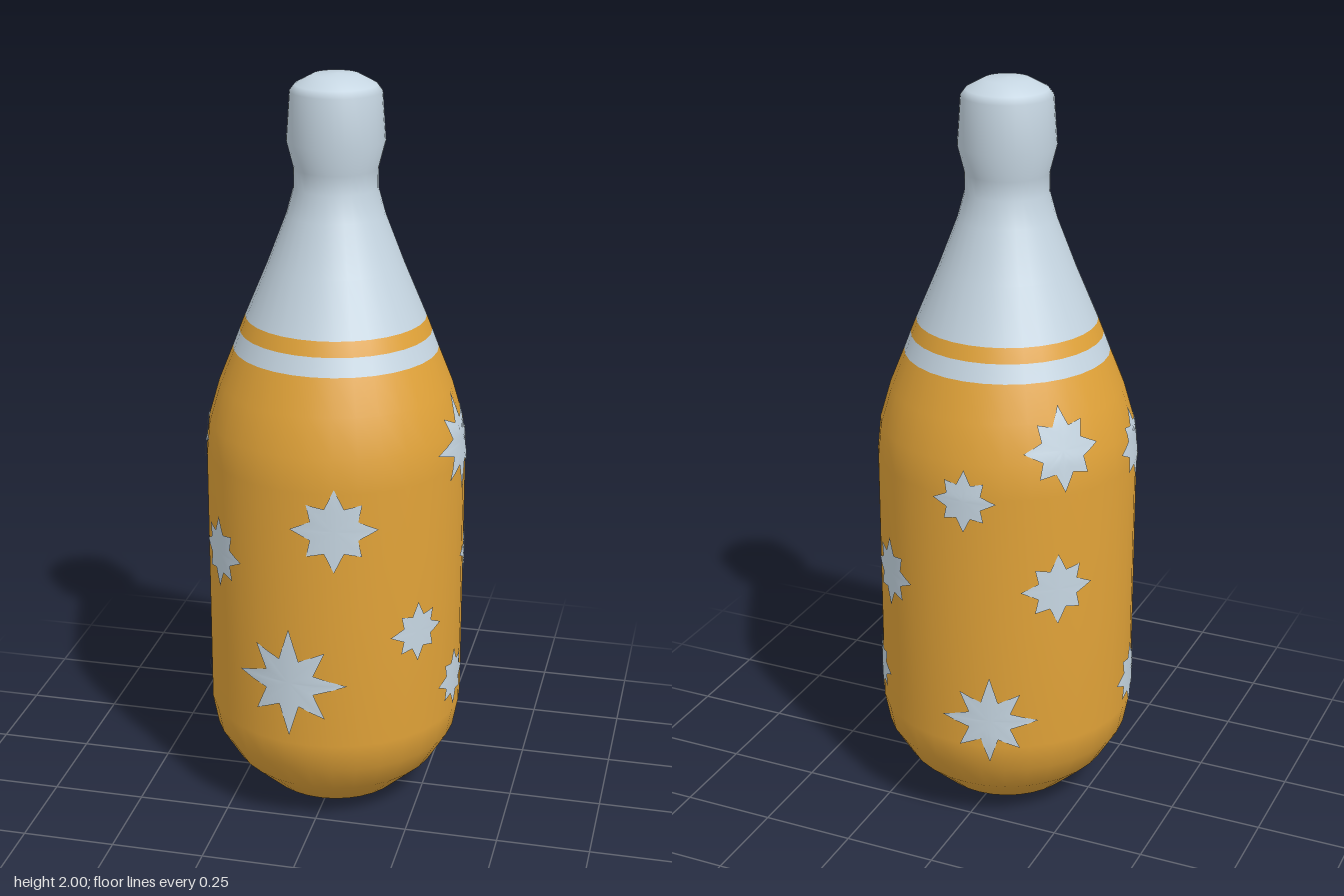
import * as THREE from 'three';

// Bottle outline: [radius, height]
const PROFILE = [
  [0, 0], [0.09, 0.004], [0.19, 0.03], [0.28, 0.115], [0.331, 0.2], [0.346, 0.28],
  [0.346, 0.62], [0.346, 1.0], [0.337, 1.09], [0.308, 1.19], [0.27, 1.285], [0.252, 1.332],
  [0.237, 1.37], [0.178, 1.51], [0.128, 1.64], [0.109, 1.71], [0.109, 1.76], [0.127, 1.83],
  [0.118, 1.955], [0.105, 1.972], [0.06, 1.996], [0, 2.0],
];
const SEGMENTS = 32;

function radiusAt(y) {
  const k = Math.max(1, PROFILE.findIndex((p) => p[1] >= y));
  const [r0, y0] = PROFILE[k - 1];
  const [r1, y1] = PROFILE[k];
  return r0 + ((r1 - r0) * (y - y0)) / (y1 - y0);
}

// Keep only the rows of the lathe between two profile points, sharing smooth normals
function latheBand(lathe, from, to) {
  const rows = PROFILE.length - 1;
  const all = lathe.index.array;
  const index = [];
  for (let i = 0; i < SEGMENTS; i++) {
    for (let j = from; j < to; j++) {
      const start = (i * rows + j) * 6;
      index.push(...all.slice(start, start + 6));
    }
  }
  const band = lathe.clone();
  band.setIndex(index);
  return band;
}

// Eight-pointed star wrapped round the bottle
function starGeometry(angle, height, size, inner) {
  const around = 32, rings = 4;
  const positions = [], index = [];
  const put = (u, v) => {
    const y = height + v;
    const r = radiusAt(y) + 0.003;
    const a = angle + u / 0.346;
    positions.push(r * Math.sin(a), y, r * Math.cos(a));
  };
  put(0, 0);
  for (let k = 1; k <= rings; k++) {
    for (let i = 0; i < around; i++) {
      // straight edges between tips (every 4th step) and notches
      const step = Math.floor(i / 2) * 2;
      const corner = (s) => {
        const r = size * (s % 4 === 0 ? (s % 8 === 0 ? 1 : 0.88) : inner);
        const t = (s / around) * Math.PI * 2;
        return [r * Math.sin(t), r * Math.cos(t)];
      };
      const a = corner(step), b = corner(step + 2), f = (i - step) / 2;
      const s = k / rings;
      put(s * (a[0] + (b[0] - a[0]) * f), s * (a[1] + (b[1] - a[1]) * f));
    }
  }
  for (let i = 0; i < around; i++) {
    const n = (i + 1) % around;
    index.push(0, 1 + n, 1 + i);
    for (let k = 1; k < rings; k++) {
      const p = 1 + (k - 1) * around, q = p + around;
      index.push(p + i, p + n, q + i, p + n, q + n, q + i);
    }
  }
  const geometry = new THREE.BufferGeometry();
  geometry.setAttribute('position', new THREE.Float32BufferAttribute(positions, 3));
  geometry.setIndex(index);
  geometry.computeVertexNormals();
  return geometry;
}

export function createModel() {
  const orange = new THREE.MeshStandardMaterial({ color: 0xe0a238 });
  orange.name = 'orange glaze';
  const pale = new THREE.MeshStandardMaterial({ color: 0xc6d6e2 });
  pale.name = 'pale blue';

  const group = new THREE.Group();
  group.name = 'bottle';
  const add = (name, geometry, material) => {
    const mesh = new THREE.Mesh(geometry, material);
    mesh.name = name;
    group.add(mesh);
  };

  // Bottle, split into colour bands
  const lathe = new THREE.LatheGeometry(PROFILE.map(([r, y]) => new THREE.Vector2(r, y)), SEGMENTS);
  add('body', latheBand(lathe, 0, 10), orange);
  add('lowerStripe', latheBand(lathe, 10, 11), pale);
  add('upperStripe', latheBand(lathe, 11, 12), orange);
  add('neckAndCap', latheBand(lathe, 12, PROFILE.length - 1), pale);

  // Stars: angle from the front in degrees, height, size
  const stars = [
    [-8, 0.46, 0.155], [12, 0.9, 0.115], [-49, 0.765, 0.1], [51, 0.585, 0.085],
    [-82, 0.37, 0.095], [-80, 1.05, 0.1], [85, 1.055, 0.135], [98, 0.73, 0.085],
    [141, 0.71, 0.1], [79, 0.385, 0.085], [125, 0.39, 0.085], [-131, 1.12, 0.11],
    [-175, 0.99, 0.085], [-134, 0.74, 0.1], [-164, 0.36, 0.13],
  ];
  for (const [degrees, height, size] of stars) {
    const inner = size > 0.12 ? 0.46 : 0.58;
    add('star', starGeometry(THREE.MathUtils.degToRad(degrees), height, size, inner), pale);
  }
  return group;
}
